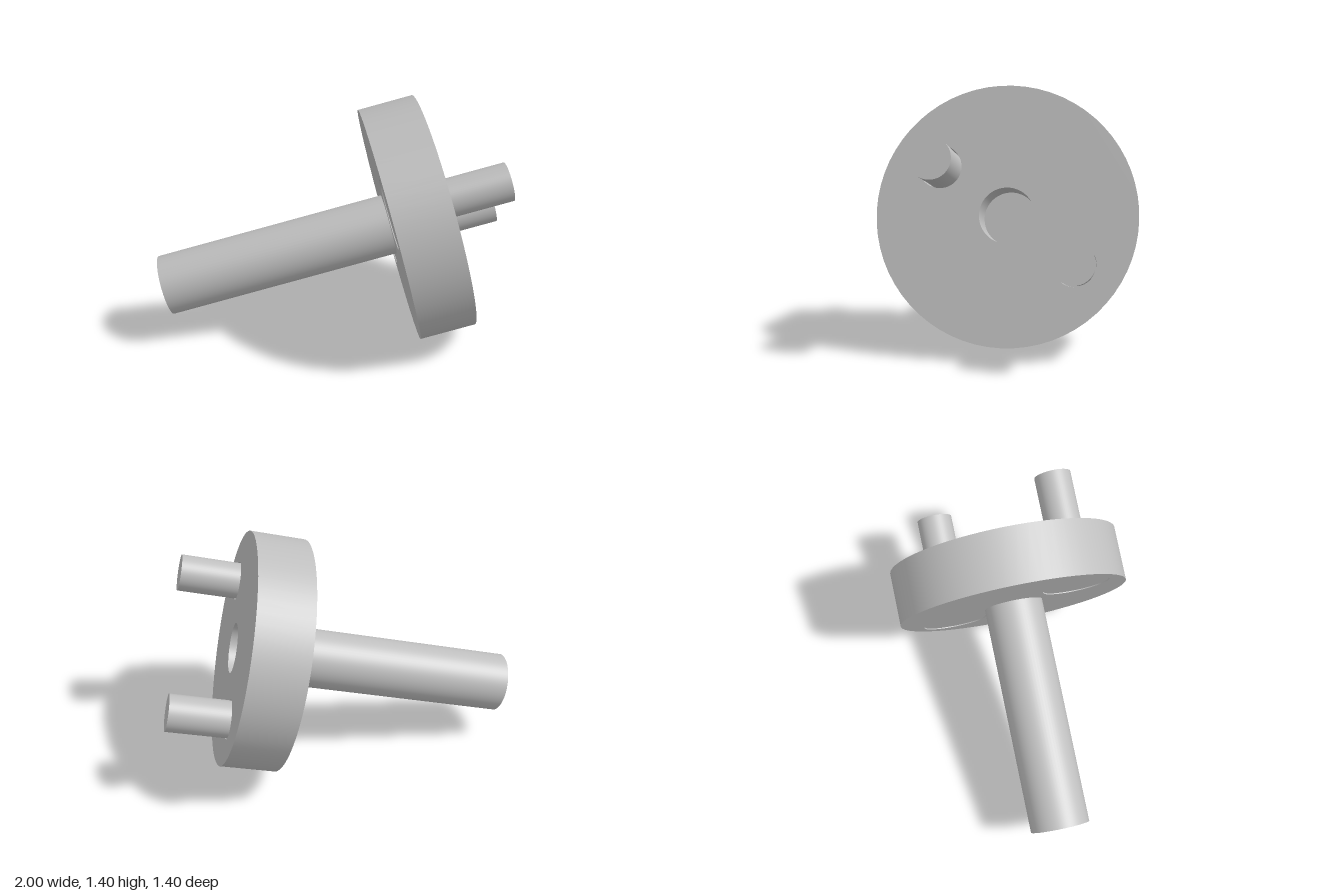
import * as THREE from 'three';
import { toCreasedNormals } from 'three/addons/utils/BufferGeometryUtils.js';

const DISC_R = 0.684, DISC_T = 0.32, SEG = 64;
const PIN_R = 0.107, PIN_OFFSET = 0.436, PIN_OUT = 0.345;
const HEAD_R = 0.19, HEAD_T = 0.1, POCKET_R = 0.195, BORE_R = 0.113;
const CENTRE_R = 0.146, CENTRE_DEPTH = 0.27;

export function createModel() {
  const model = new THREE.Group();
  model.name = 'tiltedPinWheel';
  const grey = new THREE.MeshStandardMaterial({ color: 0xbfbfbf, side: THREE.DoubleSide });
  grey.name = 'plain grey';

  // Local y runs along the shaft, from the back face of the disc to its front
  const body = new THREE.Group();
  body.name = 'body';
  model.add(body);

  const add = (name, geometry, x = 0, y = 0) => {
    const mesh = new THREE.Mesh(geometry, grey);
    mesh.name = name;
    mesh.position.set(x, y, 0);
    body.add(mesh);
  };
  const rod = (name, r, y0, y1, x = 0, open = false) =>
    add(name, new THREE.CylinderGeometry(r, r, y1 - y0, SEG, 1, open), x, (y0 + y1) / 2);
  const lathe = (name, pts, x = 0) => add(name, toCreasedNormals(
    new THREE.LatheGeometry(pts.map(p => new THREE.Vector2(...p)), SEG), 0.6), x);

  // Flat disc face pierced by round holes, each given as [x, radius]
  const face = (name, holes, y, up) => {
    const shape = new THREE.Shape().absarc(0, 0, DISC_R, 0, Math.PI * 2);
    for (const [x, r] of holes)
      shape.holes.push(new THREE.Path().absarc(x, 0, r, 0, Math.PI * 2, true));
    add(name, new THREE.ShapeGeometry(shape, SEG / 2).rotateX(up ? -Math.PI / 2 : Math.PI / 2), 0, y);
  };

  // Disc
  rod('discRim', DISC_R, 0, DISC_T, 0, true);
  face('discFront', [[0, CENTRE_R], [PIN_OFFSET, BORE_R], [-PIN_OFFSET, BORE_R]], DISC_T, true);
  face('discBack', [[PIN_OFFSET, POCKET_R], [-PIN_OFFSET, POCKET_R]], 0, false);

  // Blind hole in the middle of the front face
  lathe('centreHole', [[0, DISC_T - CENTRE_DEPTH], [CENTRE_R, DISC_T - CENTRE_DEPTH], [CENTRE_R, DISC_T]]);

  // Shaft
  rod('shaft', 0.174, -1.34, 0);

  // Two opposite pins, with wide heads sunk into the back
  for (const side of [1, -1]) {
    const x = side * PIN_OFFSET;
    lathe('pinSocket', [[POCKET_R, 0], [POCKET_R, HEAD_T], [BORE_R, HEAD_T], [BORE_R, DISC_T]], x);
    rod('pinHead', HEAD_R, 0.005, HEAD_T - 0.002, x);
    rod('pin', PIN_R, HEAD_T - 0.002, DISC_T + PIN_OUT, x);
  }

  // Tilt the whole body
  const axis = new THREE.Vector3(0.955, 0.2445, -0.166).normalize();
  const across = new THREE.Vector3(0, 0.166, 0.2445).normalize();
  const third = new THREE.Vector3().crossVectors(across, axis);
  body.quaternion.setFromRotationMatrix(new THREE.Matrix4().makeBasis(across, axis, third));
  body.position.set(0.332, 0.668, 0.026);
  return model;
}
